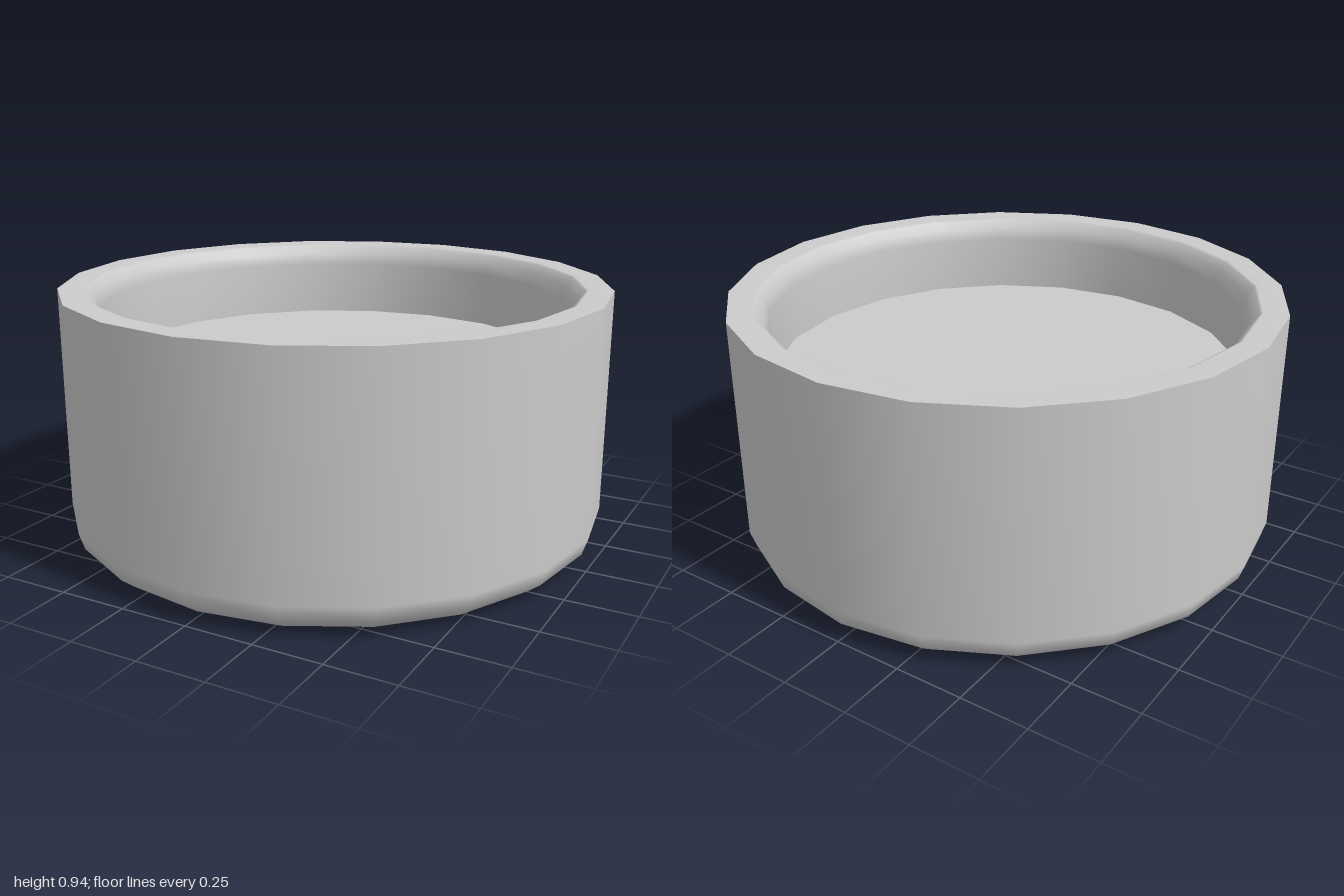
import * as THREE from 'three';

const SIDES = 20;
const HEIGHT = 0.94;
const FLOOR_Y = 0.65;
const INNER_R = 0.86;
const BASE_R = 0.85;

export function createModel() {
  const group = new THREE.Group();
  group.name = 'roundBowl';
  const material = new THREE.MeshStandardMaterial({ color: 0xcccccc });

  const add = (name, geometry) => {
    const mesh = new THREE.Mesh(geometry, material);
    mesh.name = name;
    group.add(mesh);
    return mesh;
  };

  // Smooth turned surface; separate profiles keep the edges between them sharp
  const turned = (name, profile) =>
    add(name, new THREE.LatheGeometry(profile.map(([r, y]) => new THREE.Vector2(r, y)), SIDES));

  // Flat disc facing up (1) or down (-1)
  const disc = (name, radius, y, facing) => {
    const geometry = new THREE.CircleGeometry(radius, SIDES);
    geometry.rotateX(-facing * Math.PI / 2);
    add(name, geometry).position.y = y;
  };

  // Underside, and outer wall with its rounded foot
  disc('base', BASE_R, 0, -1);
  turned('outerWall', [[BASE_R, 0], [0.93, 0.02], [0.98, 0.06], [1, 0.12], [1, HEIGHT]]);

  // Flat rim rolling over a soft lip into the inner wall
  turned('rimAndInnerWall', [
    [1, HEIGHT], [0.91, HEIGHT], [0.9, HEIGHT - 0.005], [0.875, HEIGHT - 0.035],
    [INNER_R, HEIGHT - 0.08], [INNER_R, FLOOR_Y],
  ]);

  // Raised floor inside
  disc('floor', INNER_R, FLOOR_Y, 1);

  return group;
}
